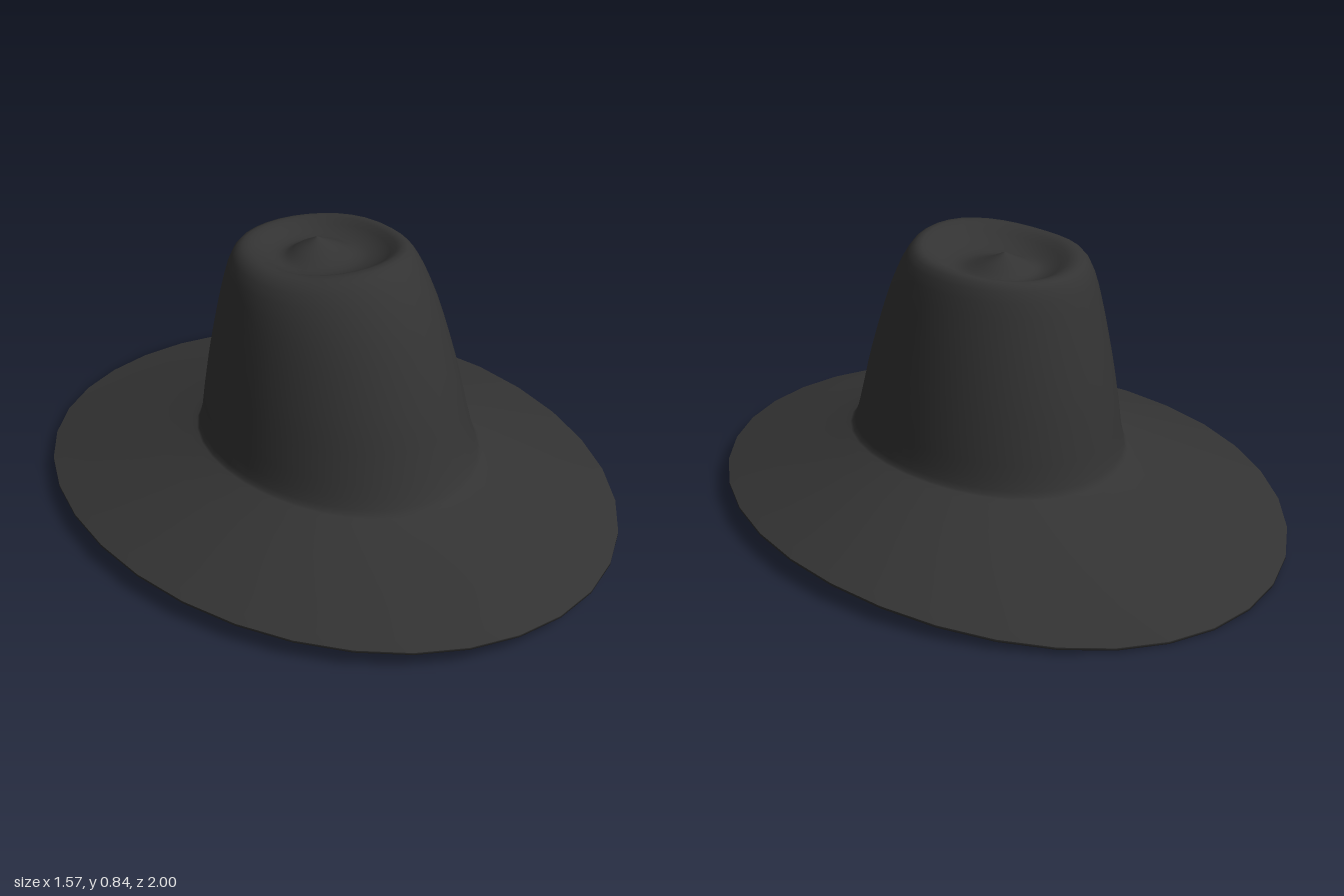
import * as THREE from 'three';

const SEGMENTS = 34;
const STEPS = 3;

// Key ovals from brim edge to crown centre:
// [half width, front z, back z], [front y, side y, back y]
const KEYS = [
  [[0.79, 0.995, -1.0], [0.058, 0.064, 0.008]],
  [[0.69, 0.87, -0.86], [0.096, 0.1, 0.046]],
  [[0.55, 0.7, -0.65], [0.142, 0.152, 0.108]],
  [[0.42, 0.565, -0.46], [0.182, 0.203, 0.172]],
  [[0.39, 0.525, -0.423], [0.21, 0.228, 0.203]],
  [[0.37, 0.483, -0.403], [0.32, 0.34, 0.32]],
  [[0.345, 0.44, -0.38], [0.465, 0.48, 0.46]],
  [[0.304, 0.36, -0.338], [0.675, 0.665, 0.65]],
  [[0.262, 0.28, -0.302], [0.81, 0.784, 0.773]],
  [[0.215, 0.222, -0.262], [0.84, 0.812, 0.793]],
  [[0.165, 0.155, -0.205], [0.797, 0.782, 0.768]],
  [[0.115, 0.08, -0.16], [0.773, 0.768, 0.764]],
  [[0.06, 0, -0.12], [0.792, 0.792, 0.79]],
  [[0.001, -0.064, -0.066], [0.82, 0.82, 0.82]],
];

// Smooth in-between ovals
function interpolate(keys) {
  const [size, height] = [0, 1].map((part) =>
    new THREE.CatmullRomCurve3(keys.map((k) => new THREE.Vector3(...k[part])), false, 'catmullrom'));
  const count = (keys.length - 1) * STEPS;
  return Array.from({ length: count + 1 }, (_, i) =>
    [...size.getPoint(i / count).toArray(), ...height.getPoint(i / count).toArray()]);
}

// Inner face: the same oval moved inwards and down by the felt thickness
function innerRing([w, f, b, yf, ys, yb], i) {
  const t = i === 0 ? 0 : Math.min(0.014, w * 0.5);
  const drop = i === 0 ? 0.007 : 0.014;
  return [w - t, f - t, b + t, yf - drop, ys - drop, yb - drop];
}

// Joins oval cross-sections into one smooth surface
function loft(rings) {
  const positions = [];
  const index = [];
  rings.forEach(([w, f, b, yf, ys, yb], i) => {
    // The dented top sits slightly to one side
    const shift = 0.02 * (1 - THREE.MathUtils.smoothstep(w, 0.15, 0.3));
    for (let j = 0; j < SEGMENTS; j++) {
      const a = (j / SEGMENTS) * Math.PI * 2;
      const c = Math.cos(a);
      const y = ys + ((c > 0 ? yf : yb) - ys) * c * c;
      positions.push(shift + w * Math.sin(a), y, (f + b) / 2 + ((f - b) / 2) * c);
      if (i < rings.length - 1) {
        const k = (j + 1) % SEGMENTS;
        const p = i * SEGMENTS;
        const q = p + SEGMENTS;
        index.push(p + j, p + k, q + j, p + k, q + k, q + j);
      }
    }
  });
  const geometry = new THREE.BufferGeometry();
  geometry.setAttribute('position', new THREE.Float32BufferAttribute(positions, 3));
  geometry.setIndex(index);
  geometry.computeVertexNormals();
  return geometry;
}

export function createModel() {
  const group = new THREE.Group();
  group.name = 'hat';
  const felt = new THREE.MeshStandardMaterial({ color: 0x333333 });
  const rings = interpolate(KEYS);

  // Outside: sloping brim, tapered crown and dented top
  const outer = new THREE.Mesh(loft(rings), felt);
  outer.name = 'brimAndCrown';

  // Inside: crown hollow and brim underside, out to the brim edge
  const inner = new THREE.Mesh(loft([...rings.map(innerRing).reverse(), rings[0]]), felt);
  inner.name = 'underside';

  group.add(outer, inner);
  return group;
}
